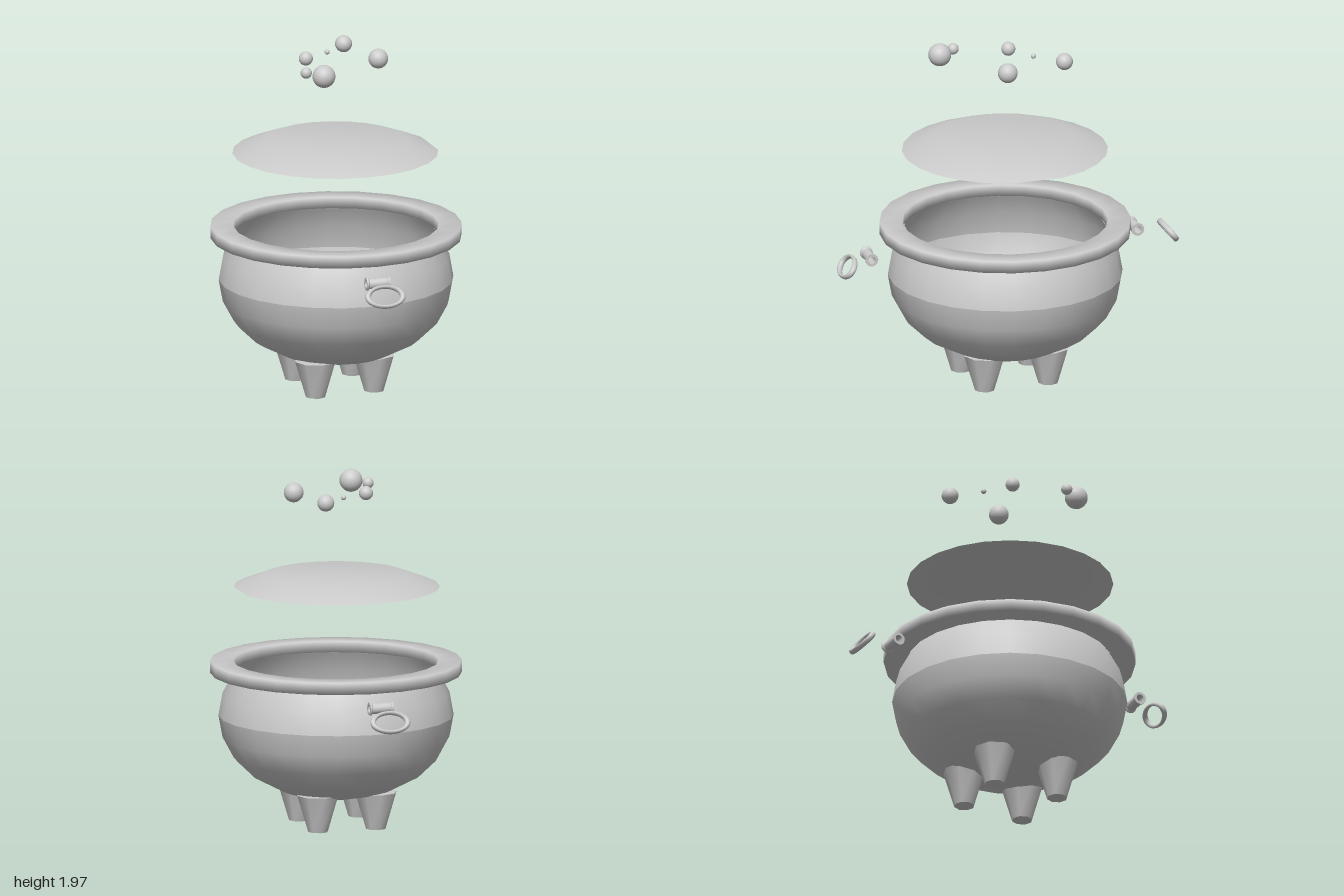
import * as THREE from 'three';
import { mergeVertices, toCreasedNormals } from 'three/addons/utils/BufferGeometryUtils.js';

const SIDES = 24;
const CENTER_Z = 0.022;
const grey = new THREE.MeshStandardMaterial({ color: 0xcccccc });
const greyThin = new THREE.MeshStandardMaterial({ color: 0xcccccc, side: THREE.DoubleSide });

const lathe = (points, sides = SIDES) =>
  new THREE.LatheGeometry(points.map(([r, y]) => new THREE.Vector2(r, y)), sides);

// Welds the seams and averages the normals over all edges
function smooth(geometry) {
  geometry.deleteAttribute('uv');
  geometry.deleteAttribute('normal');
  const welded = mergeVertices(geometry, 1e-4);
  welded.computeVertexNormals();
  return welded;
}

function add(parent, name, geometry, material = grey, x = 0, y = 0, z = 0) {
  const mesh = new THREE.Mesh(geometry, material);
  mesh.name = name;
  mesh.position.set(x, y, z);
  parent.add(mesh);
  return mesh;
}

export function createModel() {
  const model = new THREE.Group();
  model.name = 'cauldron';

  // Bowl in two halves, with a shading crease at the widest line
  add(model, 'lowerBowl', lathe([
    [0, 0.15], [0.083, 0.15], [0.31, 0.2], [0.474, 0.285],
    [0.578, 0.385], [0.64, 0.5], [0.663, 0.625],
  ]), greyThin, 0, 0, CENTER_Z);
  add(model, 'upperBowl', lathe([
    [0.663, 0.625], [0.64, 0.755], [0.58, 0.865], [0.575, 0.875],
  ]), greyThin, 0, 0, CENTER_Z);

  // Square-section rim with soft shading
  add(model, 'rim', smooth(lathe([
    [0.58, 0.87], [0.71, 0.87], [0.71, 0.937], [0.58, 0.937], [0.58, 0.87],
  ])), grey, 0, 0, CENTER_Z);

  // Four tapered feet
  const footGeometry = toCreasedNormals(new THREE.CylinderGeometry(0.122, 0.058, 0.21, 8), 0.9);
  for (const [x, z] of [[0.165, 0.2], [0.165, -0.178], [-0.175, -0.178], [-0.19, 0.22]]) {
    add(model, 'foot', footGeometry, grey, x, 0.105, z);
  }

  // Shallow liquid surface floating above, trimmed straight on one side
  const liquid = lathe([[0.582, 1.36], [0.4, 1.43], [0, 1.43]]);
  const pos = liquid.attributes.position;
  for (let i = 0; i < pos.count; i++) pos.setX(i, Math.min(pos.getX(i), 0.562));
  add(model, 'liquid', smooth(liquid), greyThin, -0.004, 0, CENTER_Z);

  // Bubbles: x, z, radius
  const bubbles = [
    [0.15, -0.28, 0.048], [0.005, -0.145, 0.015], [-0.155, -0.05, 0.04],
    [0.23, 0.085, 0.056], [-0.255, 0.245, 0.032], [-0.185, 0.348, 0.065],
  ];
  for (const [x, z, r] of bubbles) {
    add(model, 'bubble', new THREE.SphereGeometry(r, 20, 14), grey, x, 1.9, z);
  }

  // Handles front and back: a hollow flanged sleeve and an oval ring
  const sleeve = toCreasedNormals(lathe([
    [0.022, -0.068], [0.037, -0.068], [0.037, -0.058], [0.03, -0.052],
    [0.03, 0.052], [0.037, 0.058], [0.037, 0.068], [0.022, 0.068], [0.022, -0.068],
  ], 16), 0.6);
  const ring = new THREE.TorusGeometry(0.101, 0.0165, 10, 32);
  const handles = [
    { name: 'frontHandle', sleeveZ: 0.822, ringZ: 0.952, tilt: -0.65, yaw: -0.08 },
    { name: 'backHandle', sleeveZ: -0.757, ringZ: -0.957, tilt: 0.65, yaw: 0 },
  ];
  for (const { name, sleeveZ, ringZ, tilt, yaw } of handles) {
    const handle = new THREE.Group();
    handle.name = name;
    const tube = add(handle, 'handleSleeve', sleeve, grey, -0.03, 0.8, sleeveZ);
    tube.rotation.set(0, yaw, Math.PI / 2);
    const loop = add(handle, 'handleRing', ring, grey, -0.028, 0.754, ringZ);
    loop.rotation.set(tilt, yaw, 0, 'YXZ');
    loop.scale.set(1, 0.6, 1);
    model.add(handle);
  }
  return model;
}
